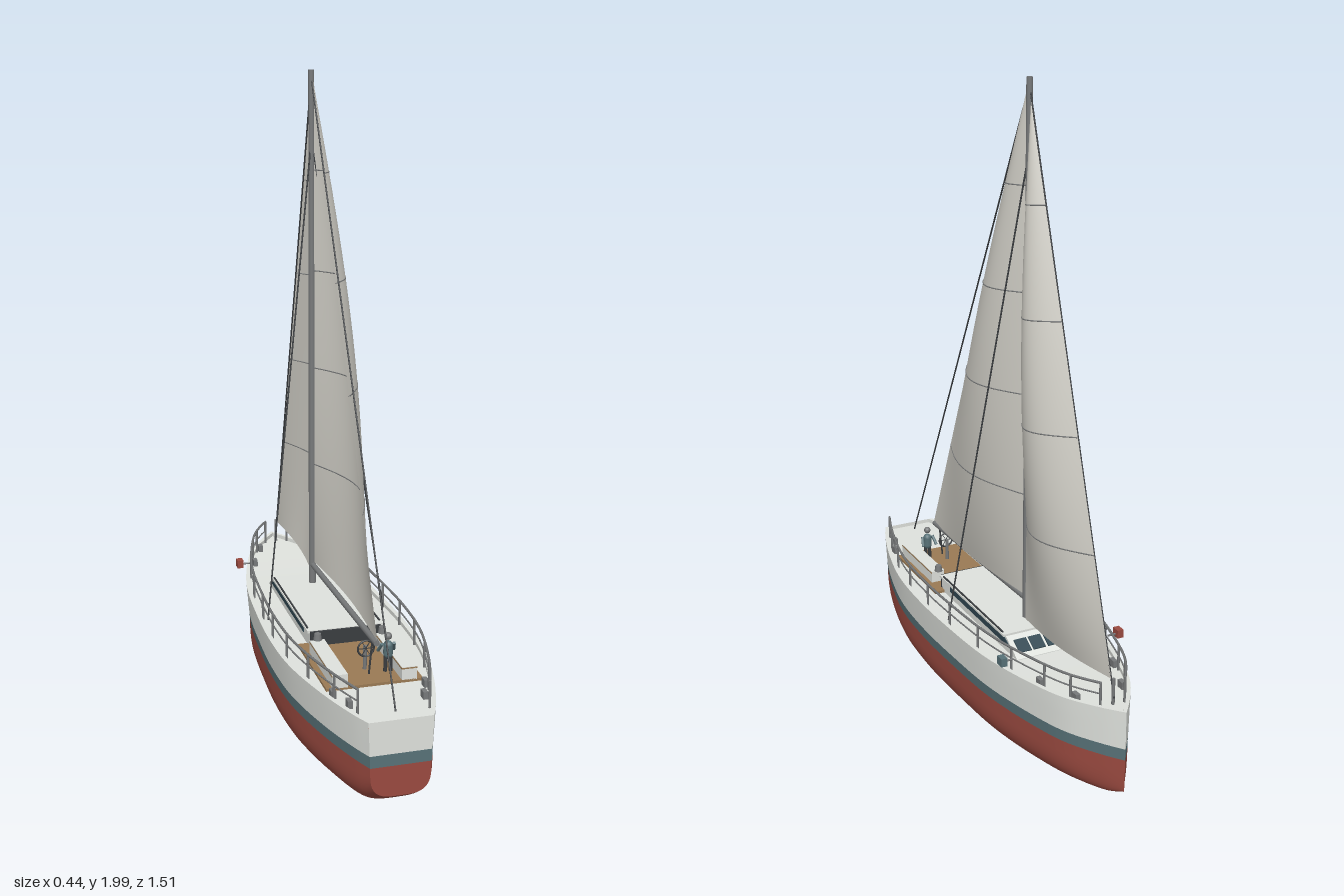
import * as THREE from 'three';
import { ParametricGeometry } from 'three/addons/geometries/ParametricGeometry.js';

const V = (x, y, z) => new THREE.Vector3(x, y, z);
const mat = (color) => new THREE.MeshStandardMaterial({ color, side: THREE.DoubleSide });

export function createModel() {
  const boat = new THREE.Group();
  const white = mat(0xdfe2dd), red = mat(0x9a4a40), teal = mat(0x587278), sailCloth = mat(0xcfcdc5);
  const metal = mat(0x77797a), dark = mat(0x3a3d40), wood = mat(0x9a7a54), glass = mat(0x2f4650);

  // Helpers
  const add = (name, geo, material, x = 0, y = 0, z = 0) => {
    const m = new THREE.Mesh(geo, material);
    m.name = name;
    m.position.set(x, y, z);
    boat.add(m);
    return m;
  };
  const box = (name, material, w, h, d, x, y, z) => add(name, new THREE.BoxGeometry(w, h, d), material, x, y, z);
  const surface = (name, material, fn, nu, nv) => {
    const geo = new ParametricGeometry((u, v, t) => t.copy(fn(u, v)), nu, nv);
    geo.computeVertexNormals();
    return add(name, geo, material);
  };
  const rod = (name, material, a, b, r) => {
    const m = add(name, new THREE.CylinderGeometry(r, r, a.distanceTo(b), 8), material);
    m.position.copy(a).lerp(b, 0.5);
    m.quaternion.setFromUnitVectors(V(0, 1, 0), b.clone().sub(a).normalize());
    return m;
  };
  const tube = (name, material, pts, r) =>
    add(name, new THREE.TubeGeometry(new THREE.CatmullRomCurve3(pts), 48, r, 5), material);

  // Hull stations from bow to stern: (half beam, keel height, z)
  const stations = new THREE.CatmullRomCurve3([
    V(0, 0.1, -0.757), V(0.045, 0.075, -0.7), V(0.108, 0.062, -0.6), V(0.15, 0.052, -0.48),
    V(0.195, 0.043, -0.28), V(0.214, 0.04, -0.05), V(0.22, 0.04, 0.15), V(0.208, 0.046, 0.35),
    V(0.165, 0.055, 0.55), V(0.12, 0.07, 0.69), V(0.092, 0.11, 0.757),
  ]);
  const sheer = (z) => 0.333 + 0.018 * (Math.max(0, -z) / 0.757) ** 2;
  const beamAt = (y) => 0.94 + 0.06 * Math.min(1, (y - 0.2) / 0.13);

  // Boxy rounded bottom below the waterline
  const bottom = (u, v) => {
    const s = stations.getPoint(u), a = (v - 0.5) * Math.PI, e = 2 / 3.5;
    const x = Math.sign(a) * Math.abs(Math.sin(a)) ** e;
    return V(s.x * 0.94 * x, 0.2 - (0.2 - s.y) * Math.max(0, Math.cos(a)) ** e, s.z);
  };
  // Side strakes between two heights; top follows the sheer when y1 is null
  const strake = (side, y0, y1) => (u, v) => {
    const s = stations.getPoint(u);
    const y = y0 + ((y1 ?? sheer(s.z)) - y0) * v;
    return V(side * s.x * beamAt(y), y, s.z);
  };
  const transom = (fn) => (u, v) => fn(1, v).multiply(V(u, 1, 1));

  surface('hullBottom', red, bottom, 80, 32);
  surface('transomBottom', red, transom(bottom), 4, 32);
  for (const side of [-1, 1]) {
    for (const [name, material, y0, y1] of [['waterlineStripe', teal, 0.2, 0.235], ['topsides', white, 0.235, null]]) {
      const fn = strake(side, y0, y1);
      surface(name, material, fn, 80, 4);
      surface(name + 'Transom', material, transom(fn), 2, 2);
    }
    // Cap along the top of the hull
    surface('toeRail', white, (u, v) => {
      const s = stations.getPoint(u);
      return V(side * Math.max(0, s.x - 0.014 * v), sheer(s.z), s.z);
    }, 80, 1);
    surface('toeRailInside', white, (u, v) => {
      const s = stations.getPoint(u);
      return V(side * Math.max(0, s.x - 0.014), sheer(s.z) - 0.018 * v, s.z);
    }, 80, 1);
  }
  surface('deck', white, (u, v) => {
    const s = stations.getPoint(u);
    return V((2 * v - 1) * s.x * 0.99, sheer(s.z) - 0.013, s.z);
  }, 80, 4);

  // Stub keel with bulb
  box('keel', red, 0.014, 0.04, 0.26, 0, 0.026, -0.02);
  add('keelBulb', new THREE.SphereGeometry(1, 24, 12), metal, 0, 0.022, -0.02).scale.set(0.035, 0.016, 0.13);

  // Cabin with sloped front
  const profile = new THREE.Shape([[0.22, 0.31], [0.22, 0.368], [-0.245, 0.368], [-0.32, 0.325], [-0.32, 0.31]]
    .map(([z, y]) => new THREE.Vector2(z, y)));
  add('cabin', new THREE.ExtrudeGeometry(profile, { depth: 0.22, bevelEnabled: false }).rotateY(-Math.PI / 2), white, 0.11);
  box('cabinRoof', white, 0.236, 0.007, 0.465, 0, 0.371, -0.012);
  box('companionway', dark, 0.22, 0.045, 0.012, 0, 0.35, 0.222);
  const pane = new THREE.Shape([[0.15, 0.343], [0.15, 0.363], [-0.235, 0.363], [-0.28, 0.343]]
    .map(([z, y]) => new THREE.Vector2(z, y)));
  for (const side of [-1, 1]) {
    add('sideWindow', new THREE.ExtrudeGeometry(pane, { depth: 0.004, bevelEnabled: false }).rotateY(-Math.PI / 2),
      glass, side * 0.111 + 0.002);
    rod('grabRail', dark, V(side * 0.113, 0.377, -0.23), V(side * 0.113, 0.377, 0.2), 0.003);
  }
  for (const x of [-0.073, -0.025, 0.025, 0.073])
    box('frontWindow', glass, 0.041, 0.004, 0.046, x, 0.348, -0.283).rotation.x = -0.52;

  // Cockpit
  box('cockpitSole', wood, 0.285, 0.008, 0.32, 0, 0.324, 0.36);
  for (const side of [-1, 1]) {
    box('bench', white, 0.045, 0.04, 0.25, side * 0.102, 0.346, 0.395);
    box('benchTrim', wood, 0.047, 0.004, 0.25, side * 0.102, 0.362, 0.395);
    add('winch', new THREE.CylinderGeometry(0.01, 0.013, 0.02, 12), metal, side * 0.1, 0.376, 0.27);
  }
  rod('wheelPedestal', metal, V(0, 0.32, 0.42), V(0, 0.4, 0.42), 0.006);
  add('steeringWheel', new THREE.TorusGeometry(0.024, 0.003, 6, 24), dark, 0, 0.395, 0.43);
  for (let i = 0; i < 3; i++) box('wheelSpoke', dark, 0.048, 0.002, 0.002, 0, 0.395, 0.43).rotation.z = i * Math.PI / 3;

  // Small standing crew figure
  for (const side of [-1, 1]) {
    rod('crewLeg', dark, V(0.06 + side * 0.008, 0.327, 0.45), V(0.06 + side * 0.007, 0.375, 0.45), 0.006);
    rod('crewArm', teal, V(0.06 + side * 0.018, 0.412, 0.45), V(0.06 + side * 0.024, 0.385, 0.43), 0.005);
  }
  add('crewBody', new THREE.CapsuleGeometry(0.014, 0.026, 4, 12), teal, 0.06, 0.394, 0.45);
  add('crewHead', new THREE.SphereGeometry(0.011, 12, 10), metal, 0.06, 0.435, 0.45);

  // Guard rails, stanchions, cleats and side lights
  const railPoint = (side, u, h) => {
    const s = stations.getPoint(u);
    return V(side * (s.x - 0.018), sheer(s.z) + h, s.z);
  };
  for (const side of [-1, 1]) {
    for (const [h, r] of [[0.068, 0.004], [0.034, 0.0025]]) {
      const pts = [];
      for (let i = 0; i <= 20; i++) pts.push(railPoint(side, 0.12 + 0.78 * i / 20, h));
      tube('guardRail', metal, pts, r);
    }
    for (let i = 0; i <= 10; i++) {
      const u = 0.12 + 0.78 * i / 10;
      rod('stanchion', metal, railPoint(side, u, -0.012), railPoint(side, u, 0.068), 0.004);
    }
    for (const [x, z] of [[0.075, -0.61], [0.122, -0.485], [0.135, 0.56], [0.108, 0.63]])
      box('cleat', metal, 0.014, 0.022, 0.026, side * x, sheer(z), z);
    box('sideLight', side < 0 ? red : teal, 0.02, 0.026, 0.028, side * 0.195, 0.378, -0.39);
    rod('sideLightArm', metal, V(side * 0.16, 0.375, -0.39), V(side * 0.19, 0.375, -0.39), 0.003);
  }

  // Mast, boom and standing rigging
  const top = V(0, 1.98, -0.167);
  add('mast', new THREE.CylinderGeometry(0.009, 0.012, 1.66, 16), metal, 0, 1.17, -0.167);
  rod('boom', metal, V(0, 0.436, -0.165), V(0.012, 0.436, 0.495), 0.009);
  rod('mainsheet', dark, V(0.01, 0.436, 0.46), V(0, 0.33, 0.46), 0.003);
  rod('backstay', dark, top, V(0, 0.33, 0.705), 0.0025);
  rod('forestay', dark, top, V(0, 0.36, -0.69), 0.0025);
  rod('bowFitting', metal, V(0, 0.34, -0.685), V(0, 0.42, -0.685), 0.005);
  for (const side of [-1, 1]) rod('shroud', dark, V(0, 1.8, -0.167), V(side * 0.188, 0.33, 0), 0.0025);

  // Triangular sails bellied to the left side, with seams
  const sail = (name, head, fore, aft, depth) => {
    const fn = (u, v) => {
      const a = fore.clone().lerp(head, v), b = aft.clone().lerp(head, v), p = a.lerp(b, u);
      p.x += depth * Math.sin(Math.PI * u) * Math.sin(Math.PI * (0.04 + 0.96 * v) ** 0.8);
      return p;
    };
    surface(name, sailCloth, fn, 24, 40);
    for (const v of [0.215, 0.42, 0.62, 0.82]) {
      const pts = [];
      for (let i = 0; i <= 12; i++) pts.push(fn(i / 12, v));
      tube(name + 'Seam', metal, pts, 0.0018);
    }
  };
  sail('mainsail', V(0.003, 1.98, -0.165), V(0.003, 0.447, -0.16), V(0.012, 0.44, 0.5), 0.076);
  sail('jib', V(0.002, 1.94, -0.18), V(0.002, 0.415, -0.675), V(0.01, 0.375, -0.18), 0.08);

  return boat;
}
